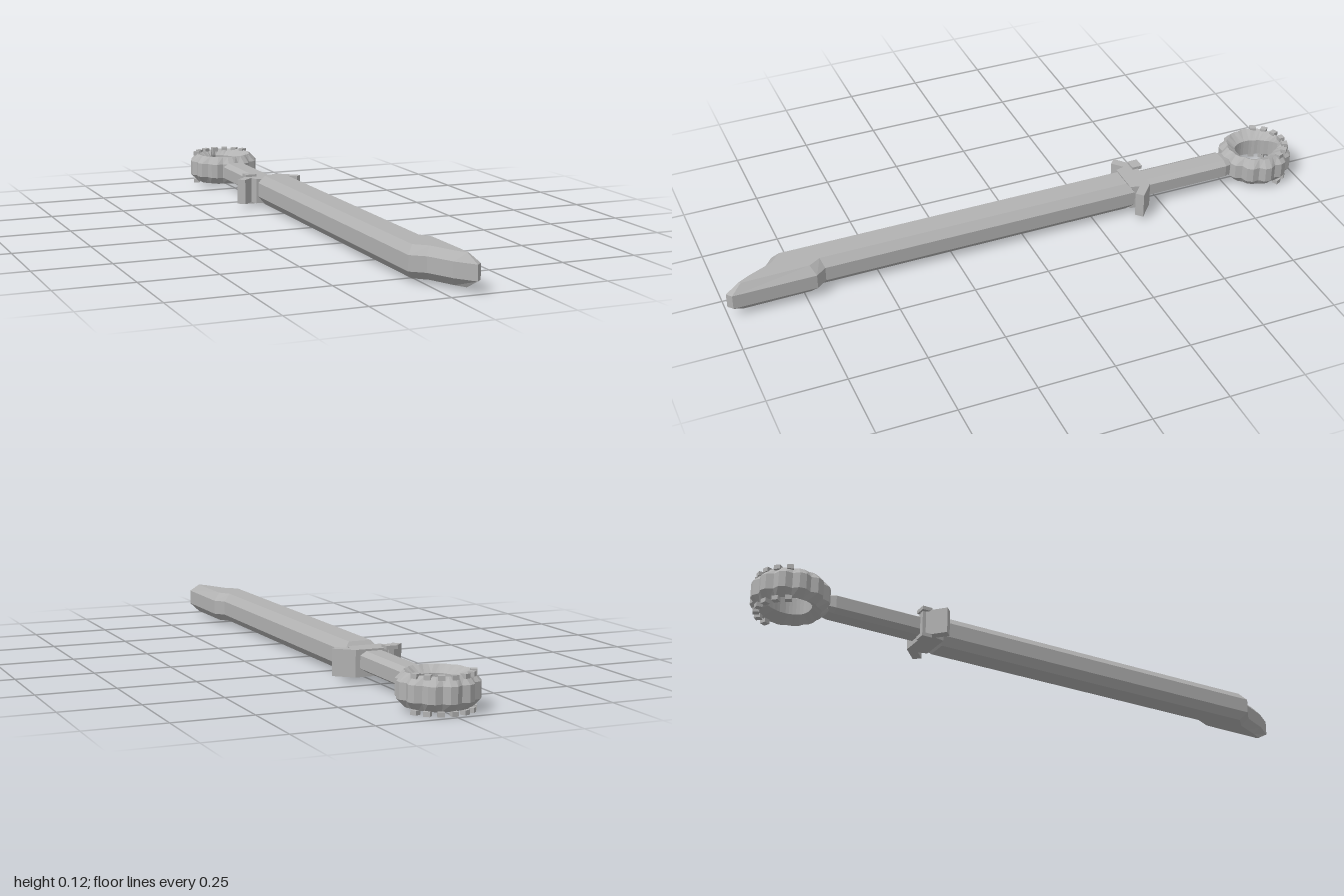
import * as THREE from 'three';

const steel = new THREE.MeshStandardMaterial({ color: 0xb2b2b2, flatShading: true });
steel.name = 'steel grey';
const MID = 0.063; // height of the centre line

// Skin a stack of equal-length loops; either join last to first or cap both ends.
function skin(loops, flat, joinEnds = false) {
  const pos = [];
  const tri = (a, b, c) => pos.push(...a, ...b, ...c);
  const n = loops[0].length;
  const rows = joinEnds ? loops.length : loops.length - 1;
  for (let i = 0; i < rows; i++) {
    const p = loops[i], q = loops[(i + 1) % loops.length];
    for (let j = 0; j < n; j++) {
      const k = (j + 1) % n;
      tri(p[j], p[k], q[k]);
      tri(p[j], q[k], q[j]);
    }
  }
  if (!joinEnds) {
    const cap = (loop, dir) => {
      const contour = loop.map(p => new THREE.Vector2(...flat(p)));
      for (const [a, b, c] of THREE.ShapeUtils.triangulateShape(contour, [])) {
        const [A, B, C] = [a, b, c].map(i => new THREE.Vector3(...loop[i]));
        const normal = B.clone().sub(A).cross(C.clone().sub(A));
        if (normal.dot(dir) > 0) tri(loop[a], loop[b], loop[c]);
        else tri(loop[a], loop[c], loop[b]);
      }
    };
    const first = new THREE.Vector3(...loops[0][0]);
    const last = new THREE.Vector3(...loops[loops.length - 1][0]);
    const [u] = flat([1, 0, 0]);
    const axis = flat([0, 1, 0])[1] && u ? new THREE.Vector3(0, 0, 1) : new THREE.Vector3(0, 1, 0);
    if (last.sub(first).dot(axis) < 0) axis.negate();
    cap(loops[0], axis.clone().negate());
    cap(loops[loops.length - 1], axis);
  }
  const g = new THREE.BufferGeometry();
  g.setAttribute('position', new THREE.Float32BufferAttribute(pos, 3));
  g.computeVertexNormals();
  return g;
}

export function createModel() {
  const model = new THREE.Group();
  const add = (name, geometry, x = 0, y = 0, z = 0) => {
    const m = new THREE.Mesh(geometry, steel);
    m.name = name;
    m.position.set(x, y, z);
    model.add(m);
    return m;
  };

  // Blade: plan outline with a chamfered, inset top and bottom
  const outer = [[-0.047, -0.39], [0.07, -0.39], [0.07, 0.68], [0.097, 0.715], [0.097, 0.985],
    [0.08, 1], [0.035, 0.94], [0.012, 0.89], [-0.005, 0.855], [-0.047, 0.82]];
  const inner = [[-0.026, -0.37], [0.047, -0.37], [0.047, 0.69], [0.072, 0.73], [0.075, 0.95],
    [0.07, 0.955], [0.05, 0.92], [0.03, 0.875], [0.012, 0.835], [-0.026, 0.8]];
  const atY = (outline, y) => outline.map(([x, z]) => [x, y, z]);
  add('blade', skin([atY(inner, 0.113), atY(outer, 0.087), atY(outer, 0.039), atY(inner, 0.013)],
    p => [p[0], p[2]]));

  // Grip: eight-sided bar tapering at its rear end
  const section = [[0.045, -0.02], [0.045, 0.02], [0.025, 0.032], [-0.025, 0.032],
    [-0.045, 0.02], [-0.045, -0.02], [-0.025, -0.032], [0.025, -0.032]];
  const gripLoop = (z, s) => section.map(([x, y]) => [x * s, MID + y * s, z]);
  add('grip', skin([gripLoop(-0.77, 0.8), gripLoop(-0.745, 1), gripLoop(-0.43, 1)], p => [p[0], p[1]]));

  // Guard: block with two swept wings
  const plan = [[-0.06, -0.45], [0.06, -0.45], [0.117, -0.4], [0.096, -0.38], [0.062, -0.41],
    [0.055, -0.38], [-0.055, -0.38], [-0.062, -0.41], [-0.096, -0.38], [-0.117, -0.4]];
  const guardShape = new THREE.Shape(plan.map(([x, z]) => new THREE.Vector2(x, -z)));
  const guard = new THREE.ExtrudeGeometry(guardShape, { depth: 0.085, bevelEnabled: false });
  guard.rotateX(-Math.PI / 2);
  add('guard', guard, 0, 0.016, 0);

  // Catch on the right of the guard: a stem between two plates
  add('catchStem', new THREE.BoxGeometry(0.016, 0.09, 0.014), -0.055, 0.058, -0.452);
  for (const y of [0.012, 0.103]) {
    add('catchPlate', new THREE.BoxGeometry(0.04, 0.012, 0.034), -0.055, y, -0.448);
  }

  // Pommel: scalloped ring around a pointed hole
  const centreZ = -0.878, steps = 36;
  const holeRadii = [0.09, 0.066, 0.056, 0.056, 0.061, 0.068, 0.066]; // rear to front, every 30 degrees
  const holeAt = t => {
    const a = Math.min(t, Math.PI * 2 - t) / (Math.PI / 6);
    const i = Math.min(5, Math.floor(a));
    return THREE.MathUtils.lerp(holeRadii[i], holeRadii[i + 1], a - i);
  };
  const ringLoop = (y, radius) => Array.from({ length: steps }, (_, i) => {
    const t = i / steps * Math.PI * 2;
    const r = radius(t, i % 3 === 2 ? 0.91 : 1);
    return [r * Math.sin(t), MID + y, centreZ - r * Math.cos(t)];
  });
  const wall = (t, s) => 0.122 * s;
  const rim = (t, s) => 0.098 * (0.5 + s / 2);
  add('pommelRing', skin([ringLoop(0.05, rim), ringLoop(0.025, wall), ringLoop(-0.025, wall),
    ringLoop(-0.05, rim), ringLoop(-0.028, holeAt), ringLoop(0.028, holeAt)], null, true));

  // Studs around the rear half of the pommel, above and below
  for (const y of [0.111, 0.008]) {
    for (let i = -3; i <= 3; i++) {
      const t = i * 0.38;
      const stud = add('pommelStud', new THREE.BoxGeometry(0.02, 0.014, 0.02),
        0.1 * Math.sin(t), y, centreZ - 0.1 * Math.cos(t));
      stud.rotation.y = -t;
    }
  }
  return model;
}
